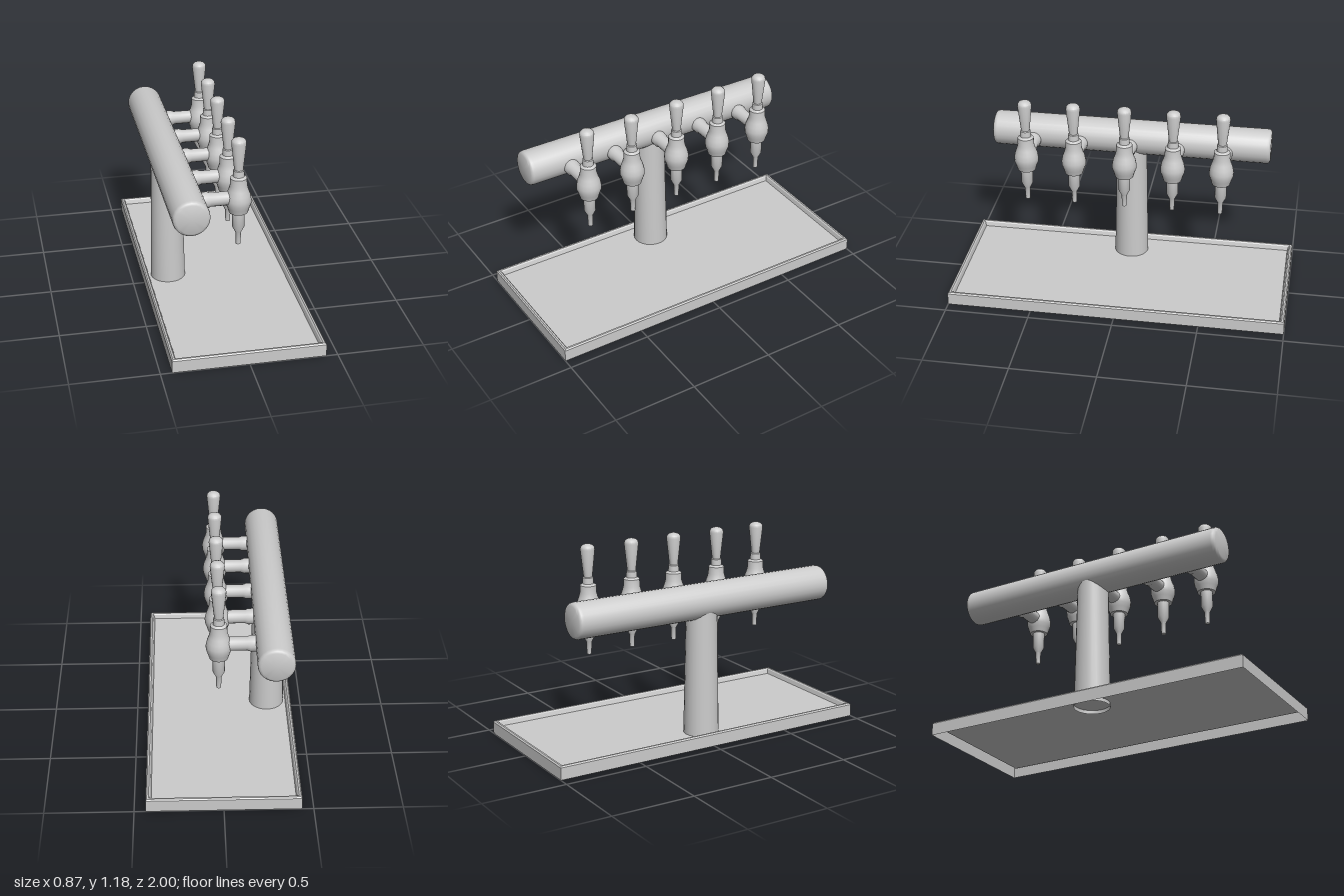
import * as THREE from 'three';
import { toCreasedNormals } from 'three/addons/utils/BufferGeometryUtils.js';

const metal = new THREE.MeshStandardMaterial({ color: 0xcccccc });
const sheet = new THREE.MeshStandardMaterial({ color: 0xcccccc, side: THREE.DoubleSide });

// Turned part: profile of [radius, height], listed bottom to top
function turned(name, profile, segments, material = metal) {
  const points = profile.map(([r, y]) => new THREE.Vector2(r, y));
  const geometry = toCreasedNormals(new THREE.LatheGeometry(points, segments), 0.6);
  const mesh = new THREE.Mesh(geometry, material);
  mesh.name = name;
  return mesh;
}

// Open-bottomed tray: rectangular rings [halfX, halfZ, y] joined by flat walls
function trayWalls(rings) {
  const corners = ([x, z, y]) => [[x, y, z], [x, y, -z], [-x, y, -z], [-x, y, z]];
  const positions = [];
  for (let i = 0; i < rings.length - 1; i++) {
    const a = corners(rings[i]);
    const b = corners(rings[i + 1]);
    for (let k = 0; k < 4; k++) {
      const n = (k + 1) % 4;
      positions.push(...a[k], ...a[n], ...b[n], ...a[k], ...b[n], ...b[k]);
    }
  }
  const geometry = new THREE.BufferGeometry();
  geometry.setAttribute('position', new THREE.Float32BufferAttribute(positions, 3));
  geometry.computeVertexNormals();
  return geometry;
}

function createTray() {
  const tray = new THREE.Group();
  tray.name = 'dripTray';
  const rim = new THREE.Mesh(trayWalls([
    [0.435, 1, 0], [0.435, 1, 0.072], [0.428, 0.993, 0.08],
    [0.418, 0.983, 0.08], [0.411, 0.976, 0.073], [0.404, 0.969, 0.048],
  ]), sheet);
  rim.name = 'trayRim';
  const floor = new THREE.Mesh(new THREE.PlaneGeometry(0.808, 1.938), sheet);
  floor.name = 'trayFloor';
  floor.rotation.x = -Math.PI / 2;
  floor.position.y = 0.048;
  tray.add(rim, floor);
  return tray;
}

function createTap() {
  const tap = new THREE.Group();
  tap.name = 'tap';
  // Body with stepped spout below and neck above
  tap.add(turned('tapBody', [
    [0, 0.535], [0.0135, 0.535], [0.016, 0.607], [0.034, 0.643], [0.035, 0.735],
    [0.053, 0.735], [0.062, 0.765], [0.071, 0.79], [0.072, 0.815], [0.066, 0.845],
    [0.056, 0.872], [0.048, 0.9], [0.047, 0.943], [0.032, 0.953], [0.03, 0.988],
    [0.024, 0.993], [0, 0.993],
  ], 20));
  // Flared handle with domed top
  tap.add(turned('tapHandle', [
    [0.025, 0.99], [0.042, 1.15], [0.04, 1.163], [0.031, 1.174], [0.016, 1.18], [0, 1.181],
  ], 16));
  // Horizontal shank with a collar against the bar
  const shank = turned('tapShank', [
    [0.046, -0.22], [0.046, -0.175], [0.039, -0.158], [0.039, 0],
  ], 16);
  shank.rotation.z = -Math.PI / 2;
  shank.position.set(0, 0.823, 0);
  tap.add(shank);
  return tap;
}

export function createModel() {
  const model = new THREE.Group();
  model.name = 'tapTower';
  model.add(createTray());

  // Tapered column
  const column = turned('column', [[0.104, 0.027], [0.09, 0.8]], 24, sheet);
  column.position.x = -0.288;
  model.add(column);

  // Horizontal bar with rounded ends
  const bar = turned('crossBar', [
    [0, -0.84], [0.085, -0.838], [0.096, -0.833], [0.102, -0.825], [0.104, -0.812],
    [0.104, 0.812], [0.102, 0.825], [0.096, 0.833], [0.085, 0.838], [0, 0.84],
  ], 24);
  bar.rotation.x = Math.PI / 2;
  bar.position.set(-0.288, 0.84, 0);
  model.add(bar);

  // Row of taps
  for (const z of [-0.57, -0.285, 0, 0.3, 0.585]) {
    const tap = createTap();
    tap.position.set(0.018, 0, z);
    model.add(tap);
  }
  return model;
}
